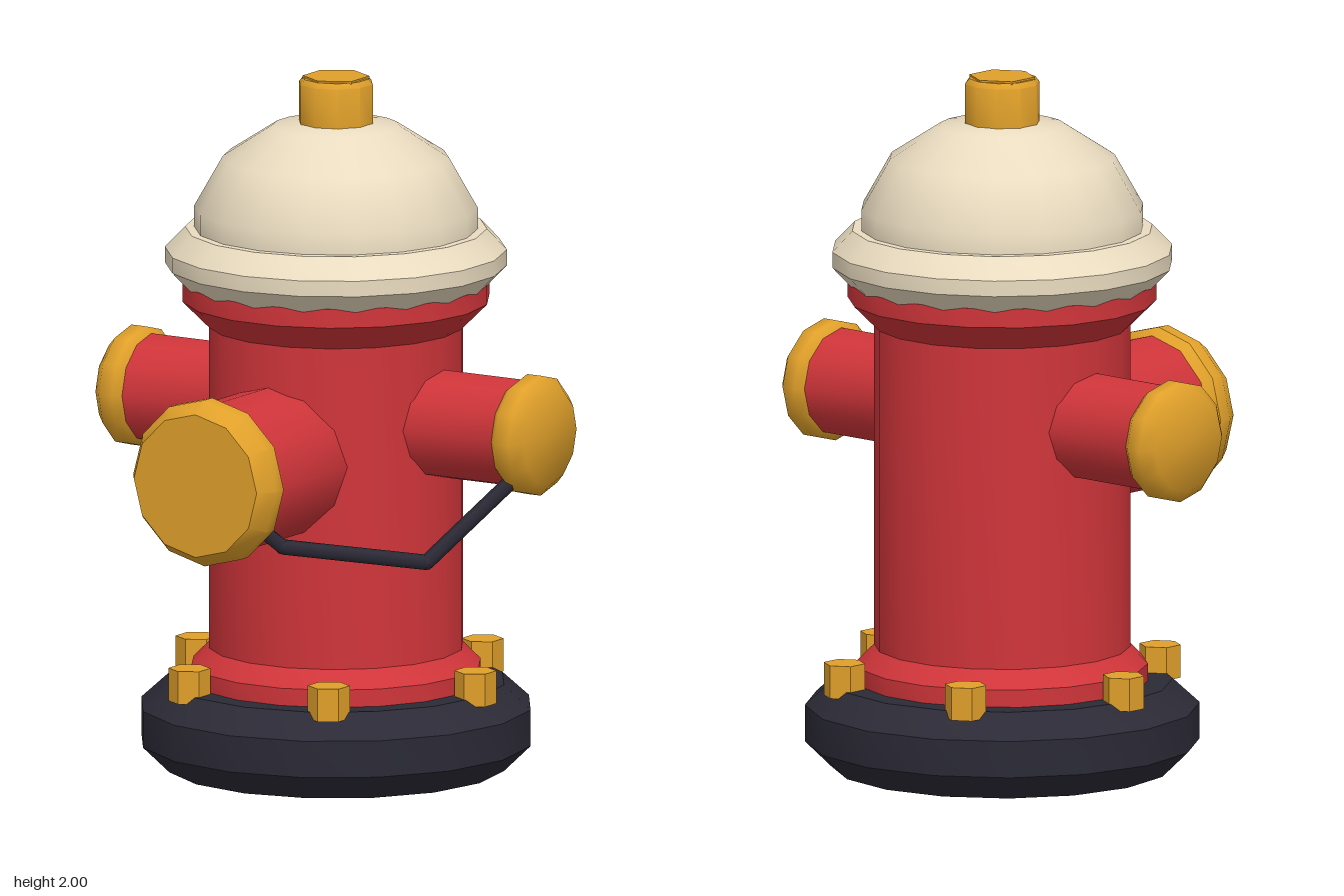
import * as THREE from 'three';
import { toCreasedNormals } from 'three/addons/utils/BufferGeometryUtils.js';

const material = (color) => new THREE.MeshStandardMaterial({ color });

export function createModel() {
  const red = material(0xd0353a);
  const gold = material(0xe0a02a);
  const cream = material(0xeadcc0);
  const dark = material(0x2b2a36);

  const hydrant = new THREE.Group();
  hydrant.name = 'fireHydrant';

  // Everything is built around the barrel axis, which sits a little behind the centre.
  const assembly = new THREE.Group();
  assembly.name = 'hydrantAssembly';
  assembly.position.z = -0.09;
  hydrant.add(assembly);

  function add(name, geometry, mat, parent = assembly) {
    const mesh = new THREE.Mesh(geometry, mat);
    mesh.name = name;
    parent.add(mesh);
    return mesh;
  }

  // Faceted solid of revolution from [radius, height] pairs, bottom to top.
  function turned(profile, sides, crease = 40, start = 0) {
    const points = profile.map(([r, y]) => new THREE.Vector2(r, y));
    const lathe = new THREE.LatheGeometry(points, sides, start);
    return toCreasedNormals(lathe, THREE.MathUtils.degToRad(crease));
  }

  // Base plate
  add('base', turned([[0, 0], [0.485, 0], [0.562, 0.075], [0.562, 0.18], [0.485, 0.25], [0, 0.25]], 16), dark);

  // Barrel with bottom flange and flared collar
  add('barrel', turned([
    [0.415, 0.24], [0.415, 0.3], [0.365, 0.35], [0.365, 1.28],
    [0.44, 1.355], [0.44, 1.41], [0, 1.41],
  ], 18, 30, Math.PI / 2), red);

  // Bonnet: brim, dome and operating nut
  add('bonnetBrim', turned([
    [0, 1.395], [0.43, 1.395], [0.487, 1.455], [0.487, 1.5], [0.43, 1.56], [0, 1.56],
  ], 18, 30), cream);
  add('bonnetDome', turned([
    [0.404, 1.55], [0.404, 1.62], [0.322, 1.765], [0.18, 1.857], [0, 1.88],
  ], 18, 50), cream);
  add('nutCollar', turned([[0.108, 1.86], [0.108, 1.98], [0.096, 1.995], [0, 1.995]], 10), gold);
  add('operatingNut', turned([[0.095, 1.95], [0.095, 2], [0, 2]], 6), gold);

  // Flange bolts
  const boltGeometry = turned([[0, 0.23], [0.06, 0.23], [0.06, 0.325], [0, 0.325]], 6);
  for (let i = 0; i < 6; i++) {
    const a = (i * Math.PI) / 3;
    add('flangeBolt', boltGeometry, gold).position.set(0.47 * Math.cos(a), 0, 0.47 * Math.sin(a));
  }

  // Side outlets, mirrored left and right
  const sidePipe = turned([[0.156, 0.2], [0.156, 0.64]], 12);
  const sideCap = turned([
    [0, 0.615], [0.15, 0.615], [0.174, 0.645], [0.174, 0.69], [0.14, 0.722], [0, 0.722],
  ], 12, 55);
  for (const [side, name] of [[1, 'left'], [-1, 'right']]) {
    const outlet = new THREE.Group();
    outlet.name = `${name}Outlet`;
    outlet.position.y = 1.03;
    outlet.rotation.z = -side * Math.PI / 2;
    add('sidePipe', sidePipe, red, outlet);
    add('sideCap', sideCap, gold, outlet);
    assembly.add(outlet);
  }

  // Large front outlet
  const front = new THREE.Group();
  front.name = 'frontOutlet';
  front.position.y = 0.935;
  front.rotation.x = Math.PI / 2;
  add('frontPipe', turned([[0.22, 0.2], [0.22, 0.65]], 12), red, front);
  add('frontCap', turned([
    [0, 0.62], [0.215, 0.62], [0.241, 0.655], [0.241, 0.695], [0.207, 0.745], [0, 0.745],
  ], 12, 35), gold, front);
  assembly.add(front);

  // Retaining chain: straight links between the front cap and the left cap
  const chain = new THREE.Group();
  chain.name = 'capChain';
  hydrant.add(chain);
  const path = [[0.165, 0.8, 0.545], [0.2, 0.755, 0.505], [0.49, 0.69, 0.2], [0.65, 0.91, 0]]
    .map((p) => new THREE.Vector3(...p));
  const up = new THREE.Vector3(0, 1, 0);
  for (let i = 0; i < path.length - 1; i++) {
    const span = path[i + 1].clone().sub(path[i]);
    const link = add('chainLink', new THREE.CylinderGeometry(0.022, 0.022, span.length(), 6), dark, chain);
    link.position.copy(path[i]).addScaledVector(span, 0.5);
    link.quaternion.setFromUnitVectors(up, span.clone().normalize());
    if (i > 0) add('chainJoint', new THREE.SphereGeometry(0.022, 8, 6), dark, chain).position.copy(path[i]);
  }

  return hydrant;
}
